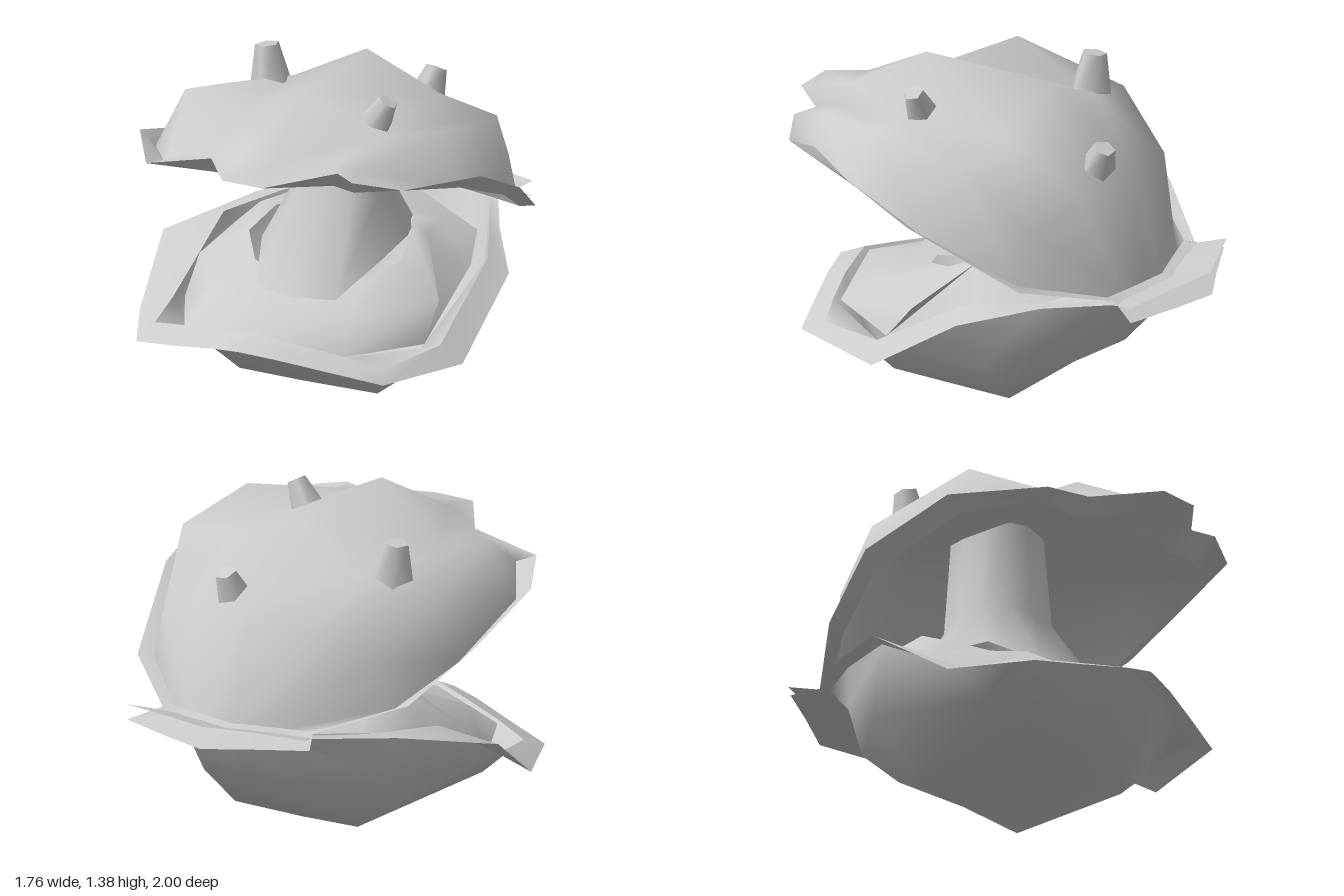
import * as THREE from 'three';

const material = new THREE.MeshStandardMaterial({ color: 0xcccccc, side: THREE.DoubleSide });

// Skin a list of equally long cross-sections; each point is [x, y, z]
function loft(name, rows, closed = false) {
  const n = rows[0].length, index = [];
  for (let i = 0; i < rows.length - 1; i++) {
    for (let j = 0; j < (closed ? n : n - 1); j++) {
      const k = (j + 1) % n;
      const a = i * n + j, b = i * n + k, c = a + n, d = b + n;
      index.push(a, b, d, a, d, c);
    }
  }
  const geometry = new THREE.BufferGeometry();
  geometry.setAttribute('position', new THREE.Float32BufferAttribute(rows.flat(2), 3));
  geometry.setIndex(index);
  geometry.computeVertexNormals();
  const mesh = new THREE.Mesh(geometry, material);
  mesh.name = name;
  return mesh;
}

// Edge of a grid: front row, right side, back row, left side
function perimeter(rows) {
  const middle = rows.slice(1, -1);
  return [
    ...rows[0],
    ...middle.map(r => r[r.length - 1]),
    ...[...rows[rows.length - 1]].reverse(),
    ...middle.map(r => r[0]).reverse(),
  ];
}

// Complete a half ring (front to back on +x) by mirroring it
function mirrorRing(half) {
  return [...half, ...half.slice(1, -1).reverse().map(([x, y, z]) => [-x, y, z])];
}

// Barnacle standing on a base point and leaning towards its tip
function barnacle(base, tip, radius) {
  const a = new THREE.Vector3(...base), b = new THREE.Vector3(...tip);
  const axis = b.clone().sub(a);
  const geometry = new THREE.CylinderGeometry(radius * 0.55, radius, axis.length(), 5);
  const mesh = new THREE.Mesh(geometry, material);
  mesh.name = 'barnacle';
  mesh.position.copy(a).add(b).multiplyScalar(0.5);
  mesh.quaternion.setFromUnitVectors(new THREE.Vector3(0, 1, 0), axis.normalize());
  return mesh;
}

export function createModel() {
  const model = new THREE.Group();
  model.name = 'openClam';

  // Upper shell: folded dome, sections from front to back
  const upper = [
    [[-0.5, 1.03, 0.7], [-0.27, 1.13, 0.67], [-0.07, 1.18, 0.79], [0.1, 1.18, 0.79], [0.33, 1.18, 0.68], [0.45, 1.18, 0.71], [0.62, 1.1, 0.64]],
    [[-0.72, 0.98, 0.4], [-0.6, 1.25, 0.35], [-0.35, 1.17, 0.35], [0.03, 1.385, 0.43], [0.38, 1.22, 0.35], [0.66, 1.27, 0.3], [0.78, 1.05, 0.36]],
    [[-0.75, 0.82, -0.07], [-0.67, 1.1, -0.15], [-0.36, 1.18, -0.2], [0, 1.37, -0.2], [0.36, 1.23, -0.2], [0.68, 1.2, -0.15], [0.8, 0.9, 0]],
    [[-0.62, 0.66, -0.36], [-0.57, 0.88, -0.42], [-0.32, 1, -0.53], [0, 1.08, -0.61], [0.32, 1.02, -0.54], [0.57, 0.9, -0.45], [0.64, 0.68, -0.42]],
    [[-0.38, 0.58, -0.64], [-0.27, 0.58, -0.67], [-0.14, 0.58, -0.71], [-0.02, 0.58, -0.75], [0.12, 0.58, -0.73], [0.24, 0.58, -0.71], [0.34, 0.58, -0.69]],
  ];
  const upperLip = [
    [-0.56, 1.05, 0.77], [-0.25, 1.12, 0.74], [-0.05, 1.14, 1], [0.15, 1.14, 1], [0.4, 1.18, 0.77], [0.5, 1.17, 0.82], [0.7, 1.14, 0.72],
    [0.87, 1.11, 0.33], [0.88, 0.95, 0], [0.7, 0.68, -0.46],
    [0.36, 0.58, -0.74], [0.45, 0.54, -0.88], [0.2, 0.53, -0.94], [-0.03, 0.53, -1], [-0.25, 0.54, -0.89], [-0.47, 0.55, -0.79], [-0.39, 0.58, -0.69],
    [-0.7, 0.69, -0.37], [-0.83, 0.9, -0.05], [-0.8, 1.04, 0.4],
  ];
  // Lining just below the dome, sharing its sides and back edge
  const lining = upper.map((row, i) => row.map(([x, y, z], j) => {
    if (i === 4 || j % 6 === 0) return [x, y, z];
    return i === 0 ? [x, y - 0.1, z] : [x * 0.94, y - 0.08, z * 0.95];
  }));
  // The dome runs out smoothly over the front of the lip
  model.add(
    loft('upperShell', [upperLip.slice(0, 7), ...upper]),
    loft('upperLip', [upperLip, perimeter(lining)], true),
    loft('upperLining', lining),
  );

  // Lower shell: bowl resting on the ground
  const lower = [
    [[-0.6, 0.25, 0.62], [-0.42, 0.29, 0.68], [-0.2, 0.33, 0.74], [-0.02, 0.365, 0.78], [0.2, 0.33, 0.74], [0.4, 0.29, 0.68], [0.56, 0.25, 0.62]],
    [[-0.66, 0.27, 0.35], [-0.54, 0.15, 0.4], [-0.3, 0.02, 0.4], [0, 0.02, 0.4], [0.38, 0.02, 0.38], [0.52, 0.15, 0.4], [0.65, 0.27, 0.3]],
    [[-0.66, 0.52, -0.1], [-0.6, 0.22, -0.2], [-0.3, 0.01, -0.2], [0, 0, -0.2], [0.36, 0, -0.2], [0.57, 0.22, -0.18], [0.64, 0.53, -0.14]],
    [[-0.54, 0.54, -0.4], [-0.48, 0.38, -0.45], [-0.28, 0.25, -0.54], [0, 0.23, -0.57], [0.28, 0.25, -0.54], [0.44, 0.38, -0.46], [0.48, 0.55, -0.44]],
    [[-0.38, 0.56, -0.64], [-0.27, 0.56, -0.68], [-0.14, 0.56, -0.72], [-0.02, 0.56, -0.76], [0.12, 0.56, -0.74], [0.24, 0.56, -0.72], [0.34, 0.56, -0.69]],
  ];
  const lowerLip = [
    [-0.62, 0.2, 0.75], [-0.4, 0.24, 0.81], [-0.16, 0.29, 0.87], [-0.02, 0.31, 0.9], [0.15, 0.29, 0.86], [0.38, 0.25, 0.79], [0.6, 0.21, 0.72],
    [0.745, 0.19, 0.27], [0.735, 0.47, -0.16], [0.52, 0.54, -0.46],
    [0.36, 0.56, -0.73], [0.45, 0.61, -0.88], [0.2, 0.62, -0.93], [-0.03, 0.63, -0.99], [-0.25, 0.62, -0.9], [-0.46, 0.6, -0.81], [-0.39, 0.56, -0.68],
    [-0.64, 0.53, -0.37], [-0.885, 0.44, 0.04], [-0.8, 0.2, 0.4],
  ];
  model.add(
    loft('lowerShell', lower),
    loft('lowerLip', [lowerLip, perimeter(lower)], true),
  );

  // Soft bed filling the bowl, a little off centre
  const bed = [
    [[0, 0.35, 0.76], [0.4, 0.28, 0.66], [0.6, 0.26, 0.3], [0.58, 0.48, -0.15], [0.46, 0.53, -0.42], [0, 0.55, -0.7]],
    [[0, 0.4, 0.55], [0.36, 0.4, 0.5], [0.6, 0.42, 0.17], [0.42, 0.62, -0.05], [0.36, 0.62, -0.25], [0, 0.6, -0.5]],
    [[0, 0.45, 0.38], [0.26, 0.49, 0.28], [0.38, 0.55, 0.12], [0.34, 0.62, -0.05], [0.25, 0.62, -0.2], [0, 0.62, -0.28]],
  ];
  const bedMesh = loft('softBed', bed.map(mirrorRing), true);
  bedMesh.position.x = -0.03;
  model.add(bedMesh);

  // Thick stalk rising from the bed to the roof
  const stalk = [
    [[0, 0.42, 0.47], [0.2, 0.44, 0.43], [0.3, 0.57, 0.2], [0.29, 0.6, -0.05], [0.22, 0.6, -0.24], [0, 0.6, -0.3]],
    [[0, 0.8, 0.2], [0.14, 0.8, 0.19], [0.21, 0.8, 0.08], [0.2, 0.8, -0.04], [0.14, 0.78, -0.19], [0, 0.78, -0.22]],
    [[0, 1.24, 0.17], [0.12, 1.22, 0.16], [0.18, 1.18, 0.08], [0.18, 1.18, -0.04], [0.13, 1.2, -0.16], [0, 1.22, -0.2]],
  ];
  model.add(loft('stalk', stalk.map(mirrorRing), true));

  // Barnacles on the dome
  model.add(
    barnacle([-0.43, 1.13, -0.12], [-0.46, 1.33, -0.13], 0.1),
    barnacle([0.31, 1.22, 0.28], [0.38, 1.35, 0.28], 0.08),
    barnacle([0.13, 1.05, -0.5], [0.15, 1.19, -0.56], 0.09),
  );
  return model;
}
